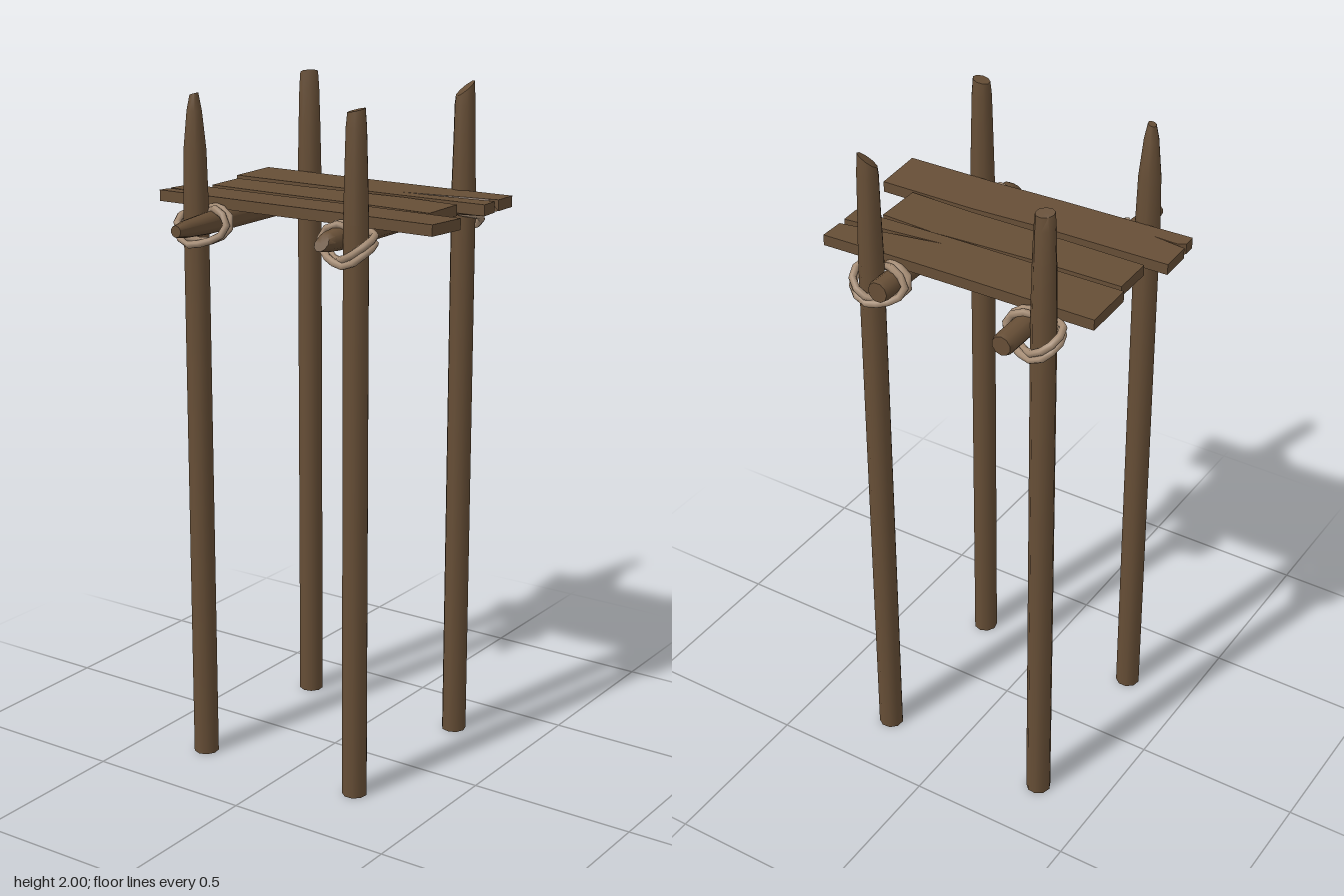
import * as THREE from 'three';
import { toCreasedNormals } from 'three/addons/utils/BufferGeometryUtils.js';

const wood = new THREE.MeshStandardMaterial({ color: 0x664e36 });
const rope = new THREE.MeshStandardMaterial({ color: 0xa58c74 });

// Round log along +y; rows run from the tip down as [y, radiusA, radiusB, slant]
function log(name, rows, sides, turn) {
  const geo = new THREE.CylinderGeometry(1, 1, 1, sides, rows.length - 1);
  const p = geo.attributes.position;
  for (let i = 0; i < p.count; i++) {
    const row = Math.round((0.5 - p.getY(i)) * (rows.length - 1));
    const [y, a, b, slant = 0] = rows[row];
    p.setXYZ(i, p.getX(i) * a, y + p.getX(i) * slant, p.getZ(i) * b);
  }
  geo.rotateY(turn);
  const mesh = new THREE.Mesh(toCreasedNormals(geo, 0.8), wood);
  mesh.name = name;
  return mesh;
}

// Board from an [x, z] outline; warp(v, isTop) moves single corners
function plank(name, outline, bottom, warp) {
  const shape = new THREE.Shape(outline.map(([x, z]) => new THREE.Vector2(x, -z)));
  const geo = new THREE.ExtrudeGeometry(shape, { depth: 0.032, bevelEnabled: false });
  geo.rotateX(-Math.PI / 2).translate(0, bottom, 0);
  const p = geo.attributes.position;
  const v = new THREE.Vector3();
  for (let i = 0; i < p.count; i++) {
    v.fromBufferAttribute(p, i);
    warp(v, v.y > bottom + 0.016);
    p.setXYZ(i, v.x, v.y, v.z);
  }
  geo.computeVertexNormals();
  const mesh = new THREE.Mesh(geo, wood);
  mesh.name = name;
  return mesh;
}

// One rope turn round post and beam: u towards the beam, v up, w outwards
const TURN = [
  [-0.051, 0.012, 0.005], [-0.04, -0.005, 0.036], [0, -0.034, 0.05], [0.055, -0.048, 0.02],
  [0.1, -0.025, -0.005], [0.11, 0.01, -0.018], [0.07, 0.042, -0.022], [0, 0.03, -0.044], [-0.038, 0.022, -0.032],
];

function lashing(x, z) {
  const group = new THREE.Group();
  group.name = 'ropeLashing';
  const su = x < 0 ? 1 : -1;
  const sw = z < 0 ? -1 : 1;
  for (const k of [0, 1]) {
    const pts = TURN.map(([u, v, w]) => new THREE.Vector3(
      x + su * u, 1.628 + v - k * (u < 0.03 ? 0.022 : 0), z + sw * (w + k * (u > 0.03 ? 0.022 : 0))));
    const curve = new THREE.CatmullRomCurve3(pts, true);
    const turn = new THREE.Mesh(new THREE.TubeGeometry(curve, 14, 0.011, 7, true), rope);
    turn.name = 'ropeTurn';
    group.add(turn);
  }
  return group;
}

export function createModel() {
  const model = new THREE.Group();
  model.name = 'woodenPlatform';

  // Four posts with differently hewn tops: [x, z, height, topA, topB, slant, turn]
  const posts = [
    [-0.297, 0.256, 1.985, 0.012, 0.013, 0.004, 0],
    [0.235, 0.24, 1.983, 0.025, 0.025, 0.006, 0.4],
    [-0.303, -0.303, 1.985, 0.013, 0.027, 0.008, -Math.PI / 4],
    [0.238, -0.303, 1.978, 0.027, 0.027, 0.022, Math.PI / 4],
  ];
  for (const [x, z, h, a, b, slant, turn] of posts) {
    const mid = (r) => 0.014 + 0.6 * r;
    const post = log('post', [
      [h, a, b, slant],
      [h - 0.045, mid(a), mid(b)],
      [1.83, 0.032, 0.033],
      [1.68, 0.036, 0.036],
      [0, 0.037, 0.037],
    ], 9, turn);
    post.position.set(x, 0, z);
    model.add(post, lashing(x, z));
  }

  // Two beams running front to back: [x, turn, rows]
  const beams = [
    [-0.243, 0, [[0.415, 0.017, 0.017], [0.37, 0.025, 0.025], [0.27, 0.032, 0.032],
      [-0.4, 0.033, 0.033], [-0.415, 0.028, 0.028]]],
    [0.173, -Math.PI / 2, [[0.314, 0.02, 0.022, 0.016], [0.285, 0.028, 0.029], [0.24, 0.032, 0.032],
      [-0.36, 0.033, 0.033], [-0.372, 0.03, 0.03]]],
  ];
  for (const [x, turn, rows] of beams) {
    const beam = log('beam', rows, 10, turn);
    beam.rotation.x = Math.PI / 2;
    beam.position.set(x, 1.631, 0);
    model.add(beam);
  }

  // Back plank, its long split undercut and bulging down at the tip
  model.add(plank('backPlank', [
    [-0.43, -0.265], [0, -0.272], [0.2, -0.277], [0.41, -0.285], [0.41, -0.21], [0.393, -0.189],
    [0.11, -0.152], [0.412, -0.185], [0.415, -0.125], [0.1, -0.113], [-0.425, -0.103],
  ], 1.66, (v, isTop) => {
    if (isTop && Math.abs(v.x - 0.393) < 0.005) v.set(0.38, v.y, -0.204);
    if (!isTop && Math.abs(v.x - 0.11) < 0.005) v.y -= 0.022;
  }));

  // Middle plank, lying slightly lower
  model.add(plank('middlePlank', [
    [-0.405, -0.081], [-0.15, -0.088], [0.17, -0.11], [0.34, -0.102],
    [0.342, 0.045], [0.15, 0.04], [-0.15, 0.046], [-0.402, 0.046],
  ], 1.656, () => {}));

  // Front plank, tilted a little and split at its right end
  model.add(plank('frontPlank', [
    [-0.455, 0.08], [-0.05, 0.07], [0.15, 0.057], [0.447, 0.053], [0.45, 0.202], [0.15, 0.207],
    [-0.05, 0.216], [-0.45, 0.228], [-0.45, 0.193], [-0.43, 0.181], [-0.355, 0.183], [-0.455, 0.172],
  ], 1.66, (v) => { v.y += (v.z - 0.14) * 0.05; }));
  return model;
}
